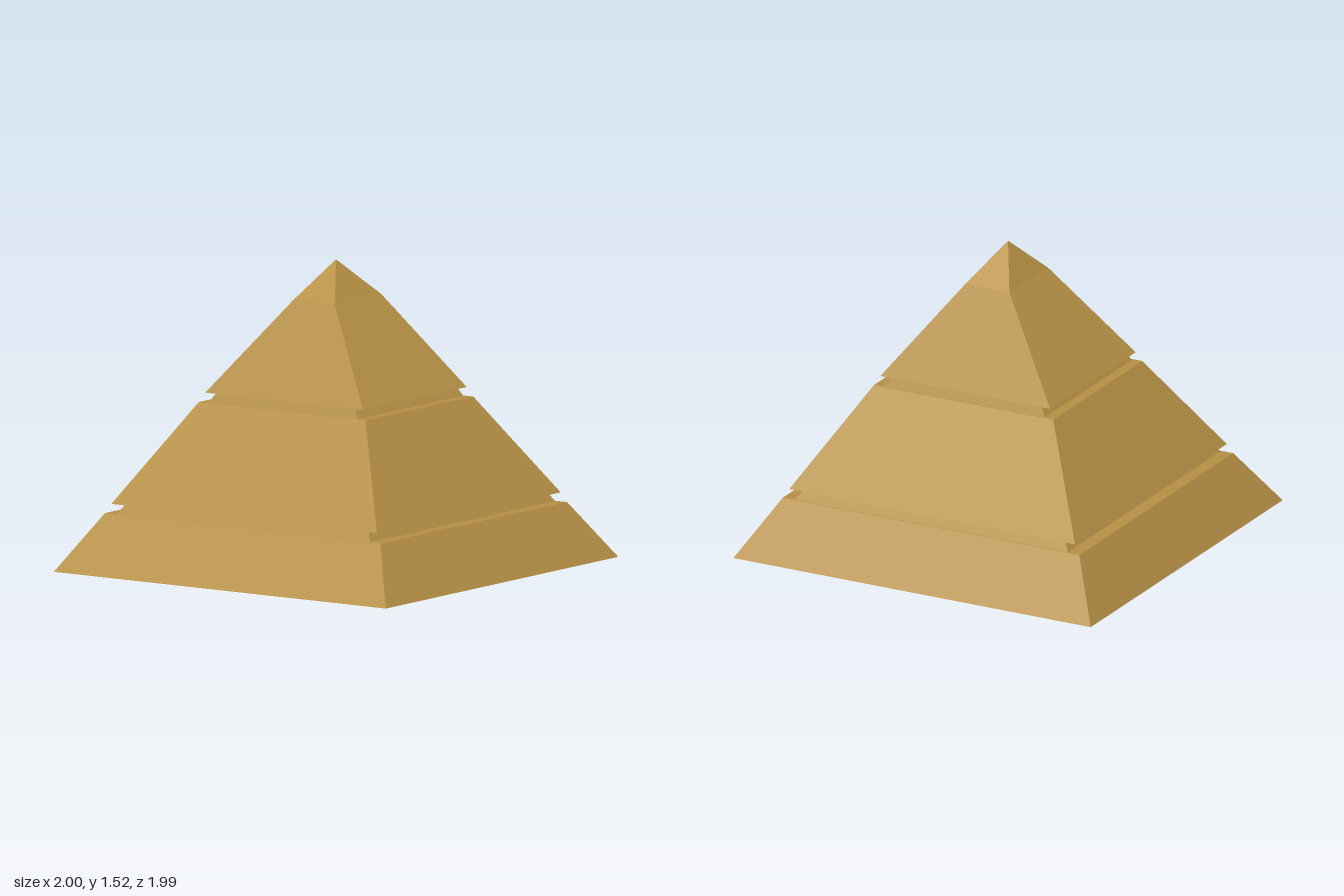
import * as THREE from 'three';

// Closed solid from rectangular rings [y, xMin, xMax, halfDepth], bottom to top
function tier(rings) {
  const pos = [];
  const quad = (a, b, c, d) => pos.push(...a, ...b, ...c, ...a, ...c, ...d);
  const loops = rings.map(([y, x0, x1, z]) => [[x0, y, z], [x1, y, z], [x1, y, -z], [x0, y, -z]]);
  for (let i = 0; i < loops.length - 1; i++) {
    const lo = loops[i], hi = loops[i + 1];
    for (let k = 0; k < 4; k++) {
      const n = (k + 1) % 4;
      quad(lo[k], lo[n], hi[n], hi[k]);
    }
  }
  const [a, b, c, d] = loops[0];
  quad(d, c, b, a);
  quad(...loops[loops.length - 1]);
  const geometry = new THREE.BufferGeometry();
  geometry.setAttribute('position', new THREE.Float32BufferAttribute(pos, 3));
  geometry.computeVertexNormals();
  return geometry;
}

export function createModel() {
  const group = new THREE.Group();
  group.name = 'steppedPyramid';
  const sandstone = new THREE.MeshStandardMaterial({ color: 0xb89246 });
  sandstone.name = 'sandstone';

  const ring = (y, x, z) => [y, -x, x, z];
  const parts = {
    baseTier: [ring(0, 1, 0.993), ring(0.283, 0.83, 0.797)],
    // Recessed necks between the tiers
    lowerNeck: [ring(0.283, 0.762, 0.79), ring(0.33, 0.733, 0.762)],
    middleTier: [ring(0.33, 0.8, 0.785), ring(0.823, 0.502, 0.46)],
    upperNeck: [ring(0.823, 0.45, 0.45), ring(0.87, 0.42, 0.43)],
    // Cap with a shallower point
    capTier: [ring(0.87, 0.475, 0.443), [1.335, -0.115, 0.132, 0.198], ring(1.52, 0.0005, 0.0005)],
  };
  for (const [name, rings] of Object.entries(parts)) {
    const mesh = new THREE.Mesh(tier(rings), sandstone);
    mesh.name = name;
    group.add(mesh);
  }
  return group;
}
